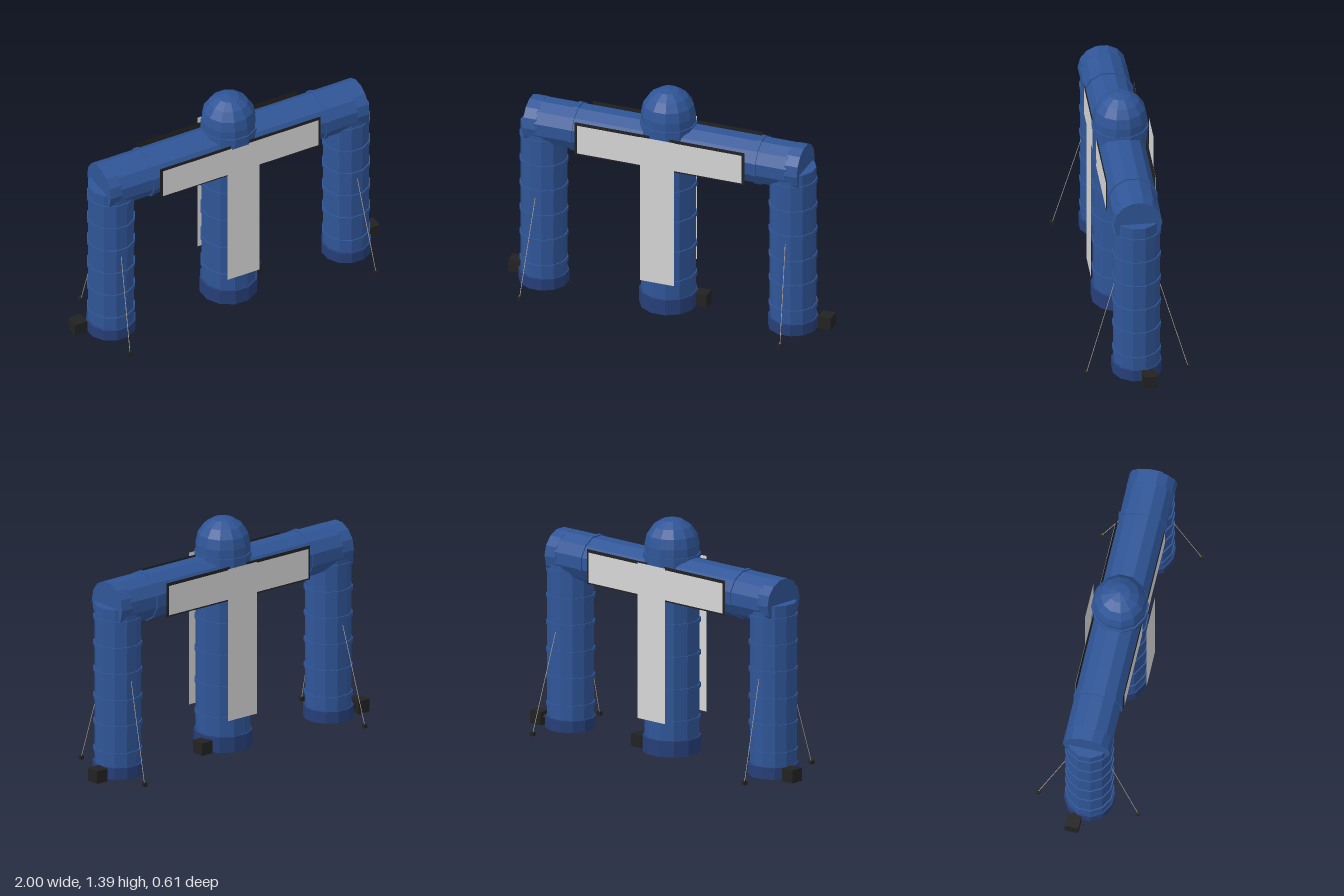
import * as THREE from 'three';

const mat = (name, color, side = THREE.FrontSide) => {
  const m = new THREE.MeshStandardMaterial({ color, side, flatShading: true });
  m.name = name;
  return m;
};

export function createModel() {
  const root = new THREE.Group();
  root.name = 'inflatableArch';
  const blue = mat('blue fabric', 0x2f5597);
  const navy = mat('navy base', 0x263f78);
  const black = mat('black', 0x222222, THREE.DoubleSide);
  const grey = mat('light grey panel', 0xd6d6d6, THREE.DoubleSide);
  const cord = mat('cord', 0xb5aa98);

  const add = (parent, name, geo, material, x = 0, y = 0, z = 0) => {
    const m = new THREE.Mesh(geo, material);
    m.name = name;
    m.position.set(x, y, z);
    parent.add(m);
    return m;
  };
  // Twelve-sided tube with flats facing the axes; r is the distance to a flat
  const tube = (r, h) => {
    const R = r / Math.cos(Math.PI / 12);
    return new THREE.CylinderGeometry(R, R, h, 12).rotateY(Math.PI / 12);
  };

  // Upright with a base cuff and seam bands
  const upright = (name, x, r, h, baseH, bands) => {
    const g = new THREE.Group();
    g.name = name;
    g.position.x = x;
    root.add(g);
    add(g, 'tube', tube(r, h), blue, 0, h / 2);
    add(g, 'baseCuff', tube(r + 0.011, baseH), navy, 0, baseH / 2);
    for (const y of bands) add(g, 'seamBand', tube(r + 0.007, 0.026), blue, 0, y);
    return g;
  };

  // Central column with dome
  const column = upright('centralColumn', 0, 0.154, 1.235, 0.095, [0.2, 0.39, 0.585, 0.78, 0.975, 1.17]);
  const dome = new THREE.SphereGeometry(0.159, 12, 4, 0, Math.PI * 2, 0, Math.PI / 2)
    .rotateY(Math.PI / 12).scale(1, 0.155 / 0.159, 1);
  add(column, 'dome', dome, blue, 0, 1.235);

  // Horizontal beam with its two seam bands
  add(root, 'beam', tube(0.136, 1.56).rotateZ(Math.PI / 2), blue, 0, 1.036);
  for (const x of [-0.556, 0.581])
    add(root, 'beamBand', tube(0.143, 0.024).rotateZ(Math.PI / 2), blue, x, 1.036);

  // Blower box with a short hose
  const blower = (x, side) => {
    add(root, 'blower', new THREE.BoxGeometry(0.08, 0.077, 0.082), black, x, 0.0385, -0.054);
    add(root, 'blowerHose', new THREE.CylinderGeometry(0.015, 0.015, 0.08, 8).rotateZ(Math.PI / 2),
      black, x - side * 0.06, 0.045, -0.054);
  };
  blower(0.19, 1);

  for (const s of [-1, 1]) {
    // Side leg, elbow end and blower
    upright(s > 0 ? 'leftLeg' : 'rightLeg', s * 0.772, 0.131, 1.033, 0.07,
      [0.145, 0.31, 0.468, 0.63, 0.79, 0.95]);
    const elbow = new THREE.CylinderGeometry(0.141, 0.141, 0.08, 14).rotateZ(Math.PI / 2);
    add(root, 'elbowEnd', elbow, blue, s * 0.81, 1.036);
    blower(s * 0.96, s);

    // Guy ropes and ground weights
    for (const f of [-1, 1]) {
      const path = new THREE.LineCurve3(
        new THREE.Vector3(s * 0.775, 0.59, f * 0.13),
        new THREE.Vector3(s * 0.807, 0.012, f * 0.295));
      add(root, 'guyRope', new THREE.TubeGeometry(path, 1, 0.002, 5), cord);
      add(root, 'groundWeight', new THREE.BoxGeometry(0.024, 0.022, 0.024), black,
        s * 0.807, 0.011, f * 0.295);
    }
  }

  // Banner panels on both faces
  for (const f of [-1, 1]) {
    const g = new THREE.Group();
    g.name = f > 0 ? 'frontBanners' : 'backBanners';
    g.rotation.y = f > 0 ? 0 : Math.PI;
    root.add(g);
    add(g, 'bannerBacking', new THREE.PlaneGeometry(1.052, 0.208), black, 0, 1.032, 0.142);
    add(g, 'horizontalBanner', new THREE.PlaneGeometry(1.022, 0.18), grey, 0, 1.028, 0.146);
    add(g, 'verticalBanner', new THREE.PlaneGeometry(0.21, 0.93), grey, 0, 0.675, 0.182);
  }
  return root;
}
